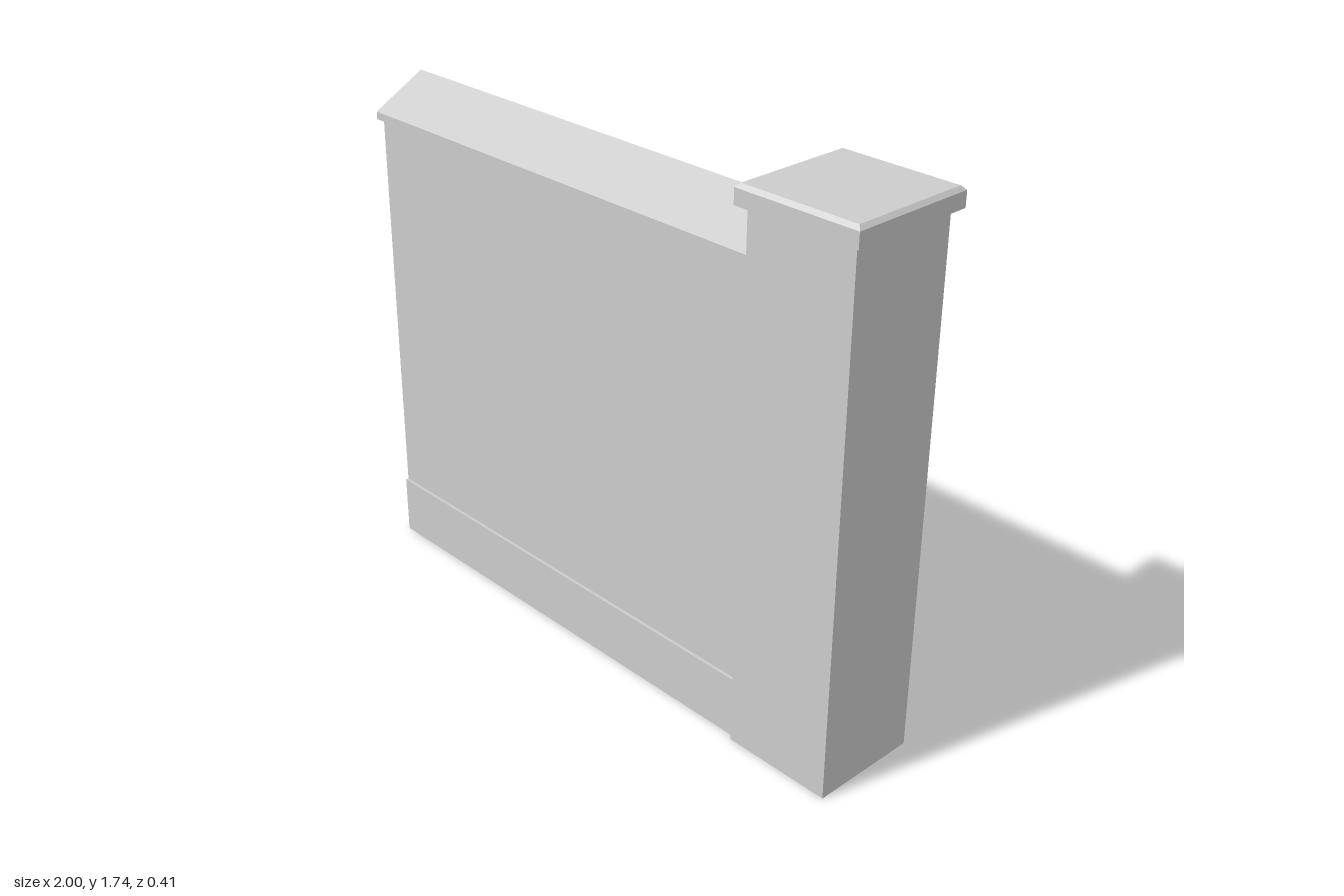
import * as THREE from 'three';

export function createModel() {
  const group = new THREE.Group();
  const stone = new THREE.MeshStandardMaterial({ color: 0xcccccc, flatShading: true });
  stone.name = 'pale stone';

  const add = (name, geometry) => {
    const mesh = new THREE.Mesh(geometry, stone);
    mesh.name = name;
    group.add(mesh);
    return mesh;
  };

  // Box given by its extents on each axis
  const box = (name, x0, x1, y0, y1, z0, z1) =>
    add(name, new THREE.BoxGeometry(x1 - x0, y1 - y0, z1 - z0))
      .position.set((x0 + x1) / 2, (y0 + y1) / 2, (z0 + z1) / 2);

  const wallStart = -1, wallEnd = 0.61;

  // Wall and the slightly thicker plinth at its foot
  box('wall', wallStart, wallEnd, 0.2, 1.52, -0.155, 0.155);
  box('plinth', wallStart, wallEnd, 0, 0.2, -0.165, 0.165);

  // Gabled coping, extruded along the wall
  const gable = new THREE.Shape([
    [-0.18, 1.52], [0.18, 1.52], [0.18, 1.545], [0, 1.645], [-0.18, 1.545],
  ].map(([z, y]) => new THREE.Vector2(z, y)));
  const coping = new THREE.ExtrudeGeometry(gable, { depth: wallEnd - wallStart, bevelEnabled: false });
  coping.rotateY(Math.PI / 2);
  add('coping', coping).position.x = wallStart;

  // End pillar with a slab cap whose top edge is chamfered
  const pillarX = 0.79;
  box('pillar', wallEnd, 0.97, 0, 1.68, -0.18, 0.18);
  box('pillarCap', pillarX - 0.205, pillarX + 0.205, 1.68, 1.728, -0.205, 0.205);
  const chamfer = new THREE.CylinderGeometry(0.193 * Math.SQRT2, 0.205 * Math.SQRT2, 0.012, 4);
  chamfer.rotateY(Math.PI / 4);
  add('capChamfer', chamfer).position.set(pillarX, 1.734, 0);

  // Raised bricks scattered over the back: x0, x1, y0, y1
  [
    [0.14, 0.28, 0.565, 0.63],
    [-0.01, 0.11, 0.575, 0.665],
    [-0.35, -0.165, 0.61, 0.70],
    [-0.82, -0.665, 0.63, 0.695],
    [-0.805, -0.665, 0.39, 0.45],
    [0.21, 0.38, 0.255, 0.31],
    [-0.195, -0.01, 0.35, 0.405],
    [-0.225, -0.11, 0.405, 0.475],
    [-0.395, -0.225, 0.435, 0.495],
  ].forEach(([x0, x1, y0, y1], i) => box(`brick${i + 1}`, x0, x1, y0, y1, -0.17, -0.15));

  return group;
}
